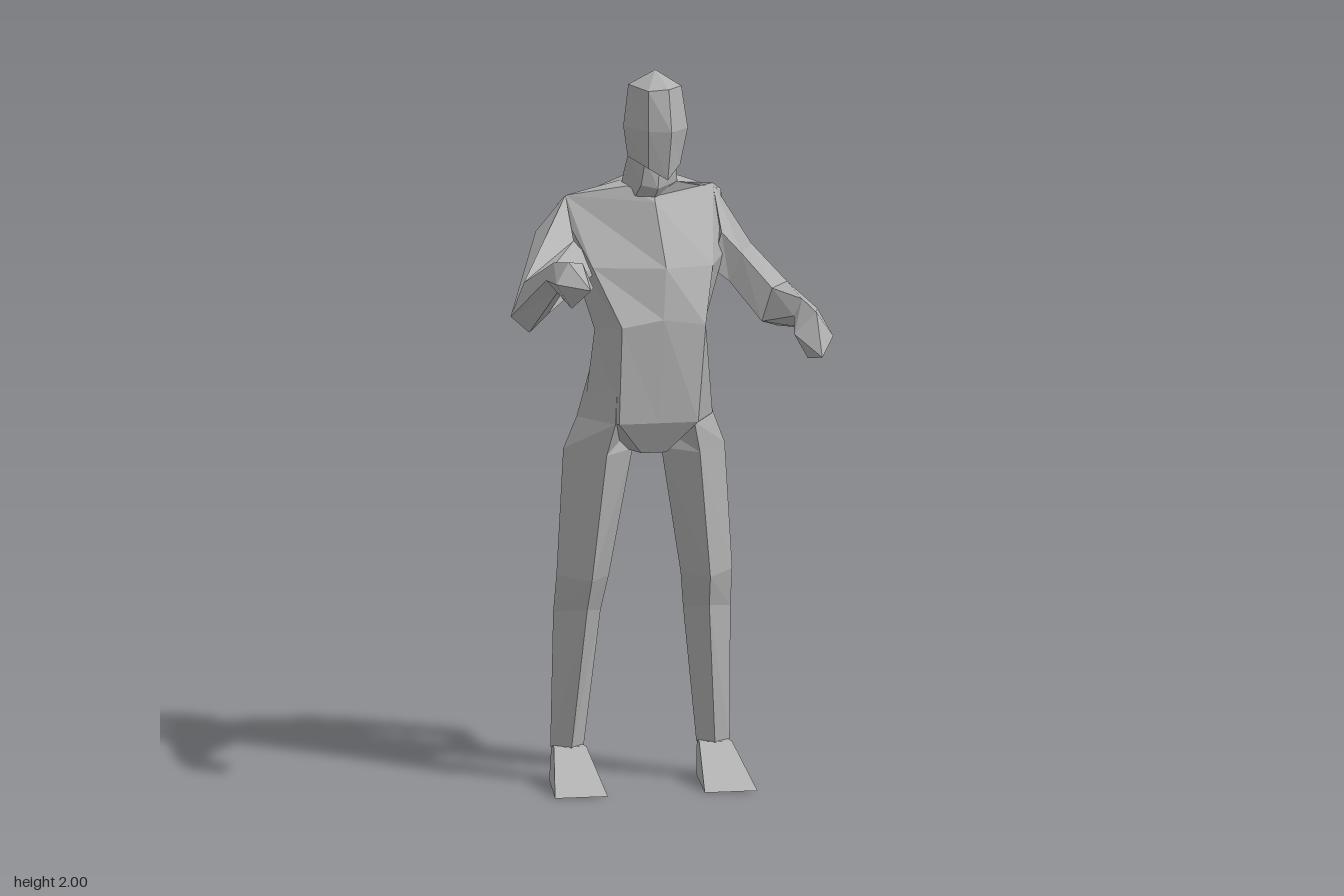
import * as THREE from 'three';

const grey = new THREE.MeshStandardMaterial({ color: 0xb0b0b0, flatShading: true });
grey.name = 'plain grey';

// Faceted skin through a list of rings; a one-point ring makes a tip, open ends are capped.
function loft(name, rings) {
  const n = Math.max(...rings.map((r) => r.length));
  const centre = (r) => [[0, 1, 2].map((k) => r.reduce((s, p) => s + p[k], 0) / r.length)];
  const all = [centre(rings[0]), ...rings, centre(rings[rings.length - 1])];
  const at = (r, i) => new THREE.Vector3(...r[i % r.length]);
  const tris = [];
  let volume = 0;
  const add = (a, b, c) => {
    const cross = b.clone().sub(a).cross(c.clone().sub(a));
    if (cross.length() < 1e-7) return;
    volume += a.dot(b.clone().cross(c));
    tris.push([a, b, c]);
  };
  for (let j = 0; j < all.length - 1; j++) {
    for (let i = 0; i < n; i++) {
      const a = at(all[j], i), b = at(all[j], i + 1);
      const c = at(all[j + 1], i + 1), d = at(all[j + 1], i);
      add(a, b, c);
      add(a, c, d);
    }
  }
  // Turn the faces outward whatever the ring direction
  const points = tris.flatMap(([a, b, c]) => (volume > 0 ? [a, b, c] : [a, c, b]));
  const geometry = new THREE.BufferGeometry().setFromPoints(points);
  geometry.computeVertexNormals();
  const mesh = new THREE.Mesh(geometry, grey);
  mesh.name = name;
  return mesh;
}

export function createModel() {
  const model = new THREE.Group();
  model.name = 'standing man';

  // Head: front ridge, then round by the left; slightly turned
  model.add(loft('head', [
    [[-0.015, 2.0, -0.13]],
    [[0.005, 1.96, -0.04], [0.05, 1.96, -0.09], [0.048, 1.945, -0.195],
      [-0.04, 1.95, -0.225], [-0.088, 1.96, -0.14], [-0.05, 1.955, -0.05]],
    [[0.008, 1.845, -0.015], [0.066, 1.845, -0.08], [0.055, 1.88, -0.2],
      [-0.04, 1.88, -0.23], [-0.102, 1.845, -0.14], [-0.052, 1.845, -0.04]],
    [[0.0, 1.71, -0.03], [0.045, 1.745, -0.08], [0.035, 1.81, -0.18],
      [-0.04, 1.81, -0.195], [-0.09, 1.76, -0.14], [-0.05, 1.74, -0.05]],
  ]));

  model.add(loft('neck', [
    [[-0.01, 1.76, -0.09], [0.04, 1.77, -0.13], [0.03, 1.83, -0.18],
      [-0.04, 1.83, -0.19], [-0.085, 1.78, -0.14], [-0.05, 1.76, -0.09]],
    [[-0.015, 1.675, -0.09], [0.05, 1.71, -0.16], [0.035, 1.74, -0.235],
      [-0.04, 1.74, -0.245], [-0.095, 1.71, -0.17], [-0.06, 1.685, -0.1]],
    [[-0.02, 1.64, -0.12], [0.055, 1.68, -0.17], [0.035, 1.68, -0.27],
      [-0.05, 1.68, -0.27], [-0.1, 1.675, -0.18], [-0.07, 1.65, -0.13]],
  ]));

  // Torso: front right, front middle, front left, left side, back left, back right, right side
  model.add(loft('torso', [
    [[-0.09, 1.675, -0.15], [-0.02, 1.65, -0.115], [0.05, 1.68, -0.16], [0.06, 1.69, -0.21],
      [0.03, 1.69, -0.265], [-0.06, 1.69, -0.265], [-0.1, 1.685, -0.19]],
    [[-0.25, 1.645, -0.205], [-0.02, 1.635, -0.105], [0.175, 1.65, -0.275], [0.2, 1.63, -0.29],
      [0.16, 1.585, -0.335], [-0.055, 1.585, -0.335], [-0.27, 1.62, -0.215]],
    [[-0.195, 1.46, -0.1], [0, 1.46, -0.05], [0.14, 1.455, -0.1], [0.19, 1.47, -0.2],
      [0.22, 1.53, -0.32], [-0.12, 1.53, -0.315], [-0.24, 1.49, -0.21]],
    [[-0.125, 1.3, -0.04], [-0.01, 1.32, -0.035], [0.11, 1.3, -0.05], [0.125, 1.28, -0.15],
      [0.085, 1.28, -0.265], [-0.13, 1.28, -0.265], [-0.18, 1.28, -0.15]],
    [[-0.13, 1.03, -0.055], [-0.02, 1.03, -0.055], [0.09, 1.03, -0.055], [0.155, 1.03, -0.18],
      [0.07, 1.035, -0.33], [-0.13, 1.035, -0.33], [-0.205, 1.03, -0.18]],
    [[-0.06, 0.94, -0.1], [-0.025, 0.94, -0.1], [0.01, 0.94, -0.1], [0.04, 0.94, -0.2],
      [0.01, 0.97, -0.28], [-0.07, 0.97, -0.28], [-0.1, 0.94, -0.2]],
  ]));

  // Left arm: bent low, hand closing to a point
  model.add(loft('leftArm', [
    [[0.175, 1.65, -0.28], [0.18, 1.53, -0.18], [0.155, 1.43, -0.19], [0.23, 1.53, -0.315]],
    [[0.285, 1.475, -0.285], [0.235, 1.47, -0.175], [0.205, 1.39, -0.2], [0.28, 1.39, -0.29]],
    [[0.375, 1.375, -0.24], [0.315, 1.375, -0.15], [0.29, 1.28, -0.17], [0.35, 1.25, -0.255]],
    [[0.405, 1.35, 0.025], [0.365, 1.375, 0.015], [0.34, 1.33, 0.025], [0.375, 1.295, 0.025]],
    [[0.43, 1.29, 0.125], [0.38, 1.36, 0.14], [0.32, 1.3, 0.13], [0.36, 1.23, 0.12]],
    [[0.38, 1.25, 0.22]],
  ]));

  // Right arm: bent higher, reaching forward
  model.add(loft('rightArm', [
    [[-0.25, 1.645, -0.205], [-0.33, 1.545, -0.22], [-0.23, 1.46, -0.24],
      [-0.17, 1.45, -0.13], [-0.24, 1.53, -0.14]],
    [[-0.39, 1.43, -0.085], [-0.43, 1.34, -0.07], [-0.385, 1.3, -0.035],
      [-0.33, 1.35, -0.04], [-0.335, 1.45, -0.06]],
    [[-0.355, 1.53, 0.155], [-0.375, 1.48, 0.15], [-0.345, 1.445, 0.15],
      [-0.305, 1.475, 0.135], [-0.32, 1.52, 0.14]],
    [[-0.33, 1.545, 0.235], [-0.37, 1.49, 0.265], [-0.325, 1.42, 0.255],
      [-0.26, 1.47, 0.23], [-0.29, 1.54, 0.23]],
    [[-0.29, 1.485, 0.345]],
  ]));

  // Legs and feet, mirrored about the hips; u is the distance from the midline
  for (const [side, s] of [['left', 1], ['right', -1]]) {
    const place = (rings) => rings.map((r) => r.map(([u, y, z]) => [-0.03 + s * u, y, z]));
    // Ring order: front, outer, back, inner
    model.add(loft(side + 'Leg', place([
      [[0.1, 1.2, -0.07], [0.15, 1.2, -0.17], [0.1, 1.15, -0.25], [0.05, 1.15, -0.17]],
      [[0.11, 1.03, -0.058], [0.19, 1.03, -0.2], [0.1, 1.02, -0.31], [0.03, 1.0, -0.2]],
      [[0.13, 0.94, -0.08], [0.225, 0.94, -0.21], [0.13, 0.94, -0.295], [0.04, 0.94, -0.17]],
      [[0.165, 0.585, -0.11], [0.245, 0.59, -0.205], [0.17, 0.59, -0.26], [0.1, 0.585, -0.2]],
      [[0.17, 0.5, -0.15], [0.247, 0.48, -0.24], [0.18, 0.45, -0.327], [0.115, 0.48, -0.24]],
      [[0.2, 0.1, -0.22], [0.25, 0.1, -0.265], [0.205, 0.1, -0.297], [0.157, 0.1, -0.265]],
    ])));
    model.add(loft(side + 'Foot', place([
      [[0.157, 0.105, -0.225], [0.248, 0.105, -0.225], [0.24, 0.105, -0.297], [0.165, 0.105, -0.297]],
      [[0.135, 0, -0.04], [0.282, 0, -0.04], [0.245, 0, -0.305], [0.165, 0, -0.305]],
    ])));
  }
  return model;
}
